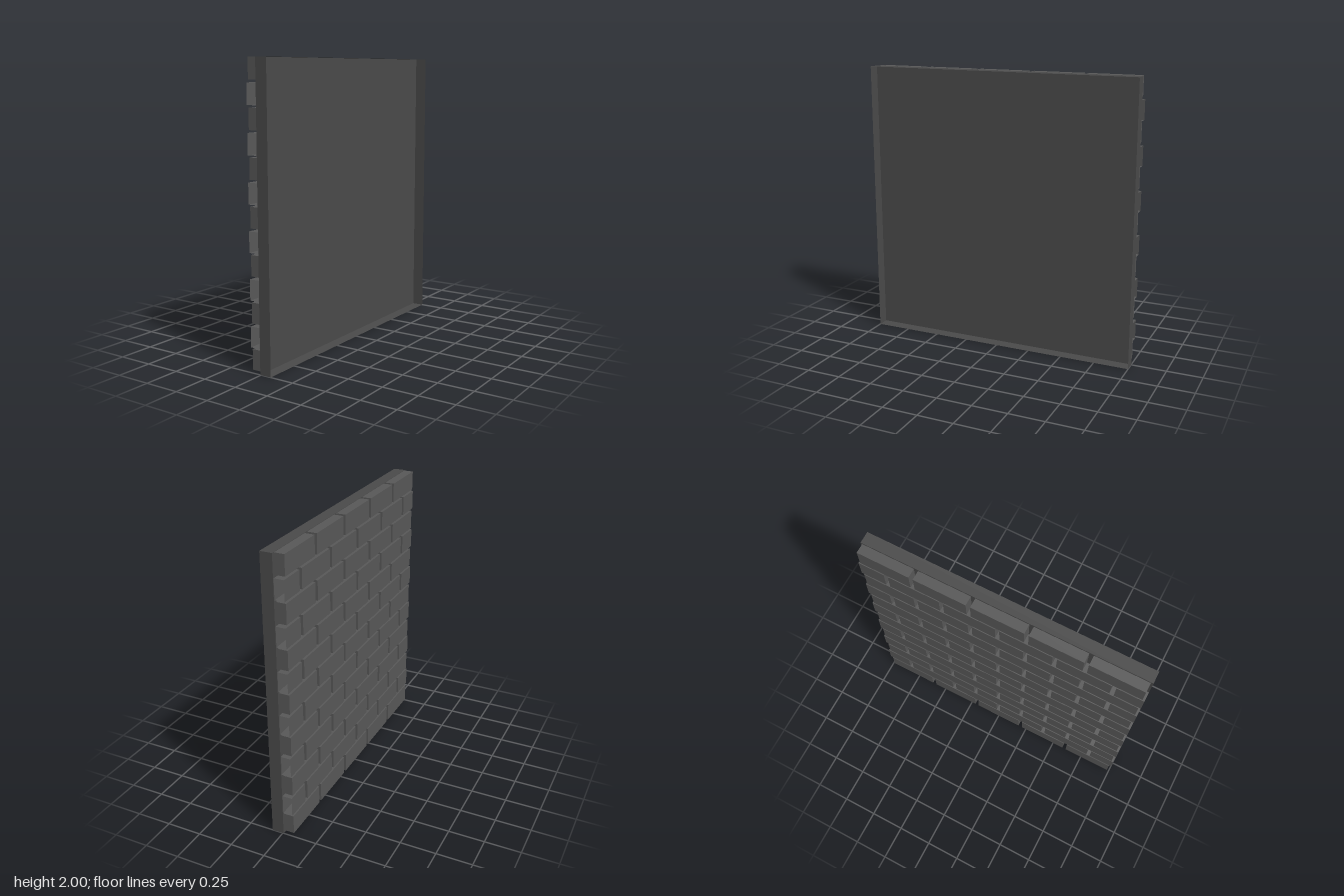
import * as THREE from 'three';

const trayMaterial = new THREE.MeshStandardMaterial({ color: 0x4a4a4a, side: THREE.DoubleSide });
const brickMaterial = new THREE.MeshStandardMaterial({ color: 0x585858, side: THREE.DoubleSide });

// Faces of a box in BoxGeometry order
const FACE = { left: 0, right: 1, top: 2, bottom: 3, front: 4, back: 5 };

// Box between two corners, optionally with one face left open
function boxShell(min, max, openFace) {
  const size = max.map((v, i) => v - min[i]);
  const geometry = new THREE.BoxGeometry(...size);
  geometry.translate(...max.map((v, i) => (v + min[i]) / 2));
  if (openFace !== undefined) {
    const index = Array.from(geometry.index.array);
    index.splice(openFace * 6, 6);
    geometry.setIndex(index);
  }
  geometry.clearGroups();
  return geometry;
}

function addMesh(parent, name, geometry, material) {
  const mesh = new THREE.Mesh(geometry, material);
  mesh.name = name;
  parent.add(mesh);
}

export function createModel() {
  const model = new THREE.Group();
  model.name = 'brickWallPanel';

  // Thin tray behind the bricks, open on the +x side
  addMesh(model, 'backingTray', boxShell([-0.006, 0, -1], [0.078, 2, 1], FACE.left), trayMaterial);

  // Running-bond courses on the -x side
  const rows = 13;
  const rowPitch = 2 / rows;
  const brickPitch = 0.4;
  const bedJoint = 0.016;
  const halfJoint = 0.015;

  for (let row = 0; row < rows; row++) {
    const course = new THREE.Group();
    course.name = 'brickCourse' + (row + 1);
    const shifted = row % 2 === 1;
    const y0 = row * rowPitch + bedJoint;
    const y1 = (row + 1) * rowPitch;
    const count = shifted ? 6 : 5;
    const start = shifted ? -1 - brickPitch / 2 : -1;

    for (let i = 0; i < count; i++) {
      // Half bricks of the shifted courses are cut open at the panel ends
      const z0 = Math.max(-1, start + i * brickPitch + halfJoint);
      const z1 = Math.min(1, start + (i + 1) * brickPitch - halfJoint);
      let open;
      if (shifted && i === 0) open = FACE.back;
      if (shifted && i === count - 1) open = FACE.front;
      const name = open === undefined ? 'brick' : 'halfBrick';
      addMesh(course, name, boxShell([-0.078, y0, z0], [-0.01, y1, z1], open), brickMaterial);
    }
    model.add(course);
  }
  return model;
}
